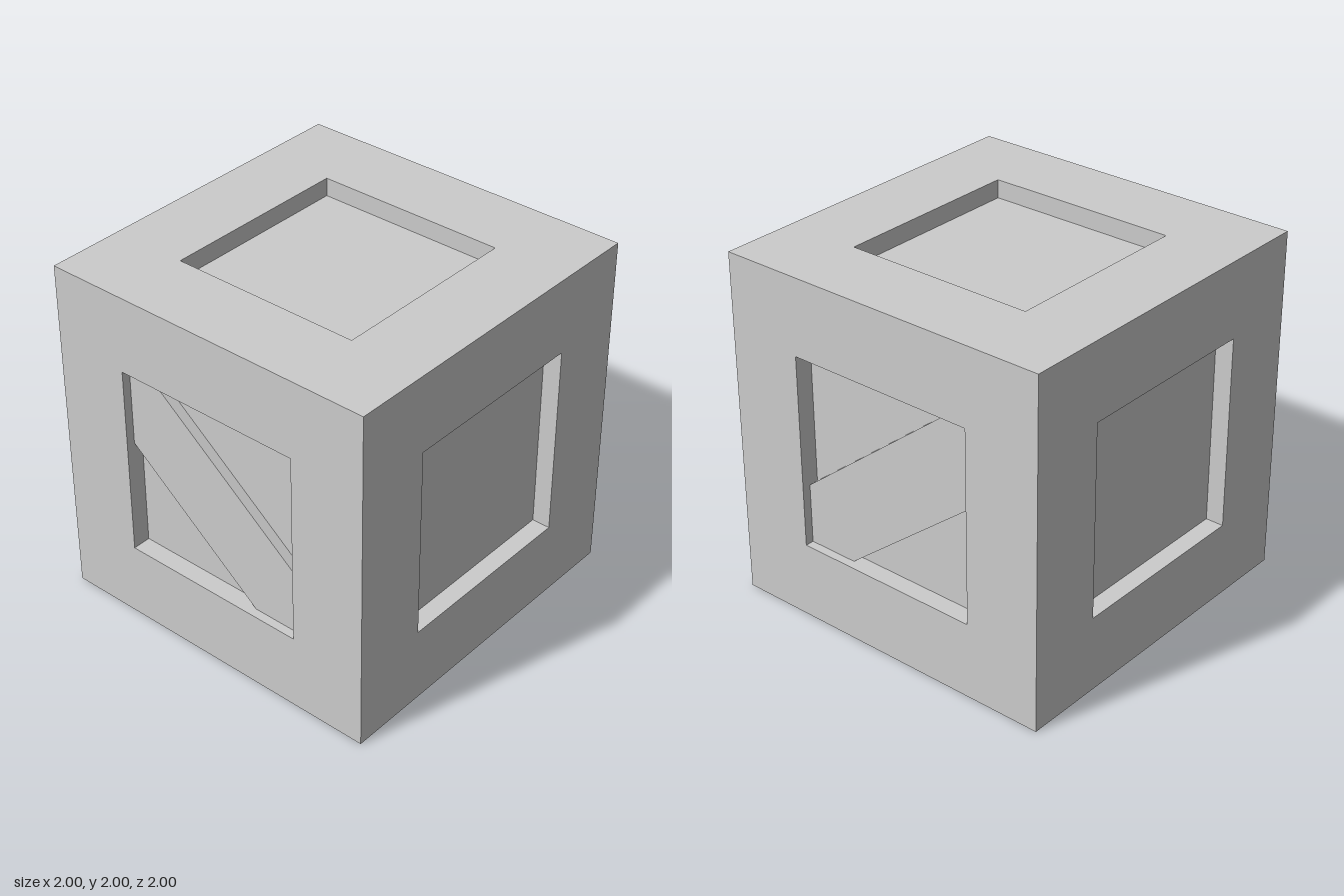
import * as THREE from 'three';

const HALF = 1;        // half the crate's edge
const OPENING = 0.558; // half the opening in each face
const PANEL = 0.895;   // distance of the recessed panels from the centre
const BRACE = 0.95;    // distance of the brace's faces from the centre

const material = new THREE.MeshStandardMaterial({ color: 0xcccccc, flatShading: true });

function addMesh(parent, name, geometry) {
  const mesh = new THREE.Mesh(geometry, material);
  mesh.name = name;
  parent.add(mesh);
  return mesh;
}

// Square frame facing +y: flat border, then walls going down into the recess
function frameGeometry() {
  const profile = [[HALF, HALF], [OPENING, HALF], [OPENING, PANEL - 0.02]]
    .map(([r, y]) => new THREE.Vector2(r * Math.SQRT2, y));
  const geometry = new THREE.LatheGeometry(profile, 4, Math.PI / 4).toNonIndexed();
  geometry.computeVertexNormals();
  return geometry;
}

export function createModel() {
  const model = new THREE.Group();
  model.name = 'crate';
  const body = new THREE.Group();
  body.name = 'body';
  body.position.y = HALF;
  model.add(body);

  // One mitred frame per side
  const frame = frameGeometry();
  const q = Math.PI / 2;
  const sides = {
    topFrame: [0, 0], bottomFrame: [2 * q, 0],
    frontFrame: [q, 0], backFrame: [-q, 0],
    leftFrame: [0, -q], rightFrame: [0, q],
  };
  for (const [name, [rx, rz]] of Object.entries(sides)) {
    addMesh(body, name, frame).rotation.set(rx, 0, rz);
  }

  // Inner box forms the recessed panels
  addMesh(body, 'innerPanels', new THREE.BoxGeometry(2 * PANEL, 2 * PANEL, 2 * PANEL));

  // Diagonal brace, showing in the front and back recesses
  const brace = addMesh(body, 'diagonalBrace', new THREE.BoxGeometry(1.7, 0.456, 2 * BRACE));
  brace.position.y = -0.058;
  brace.rotation.z = -0.674;

  return model;
}
